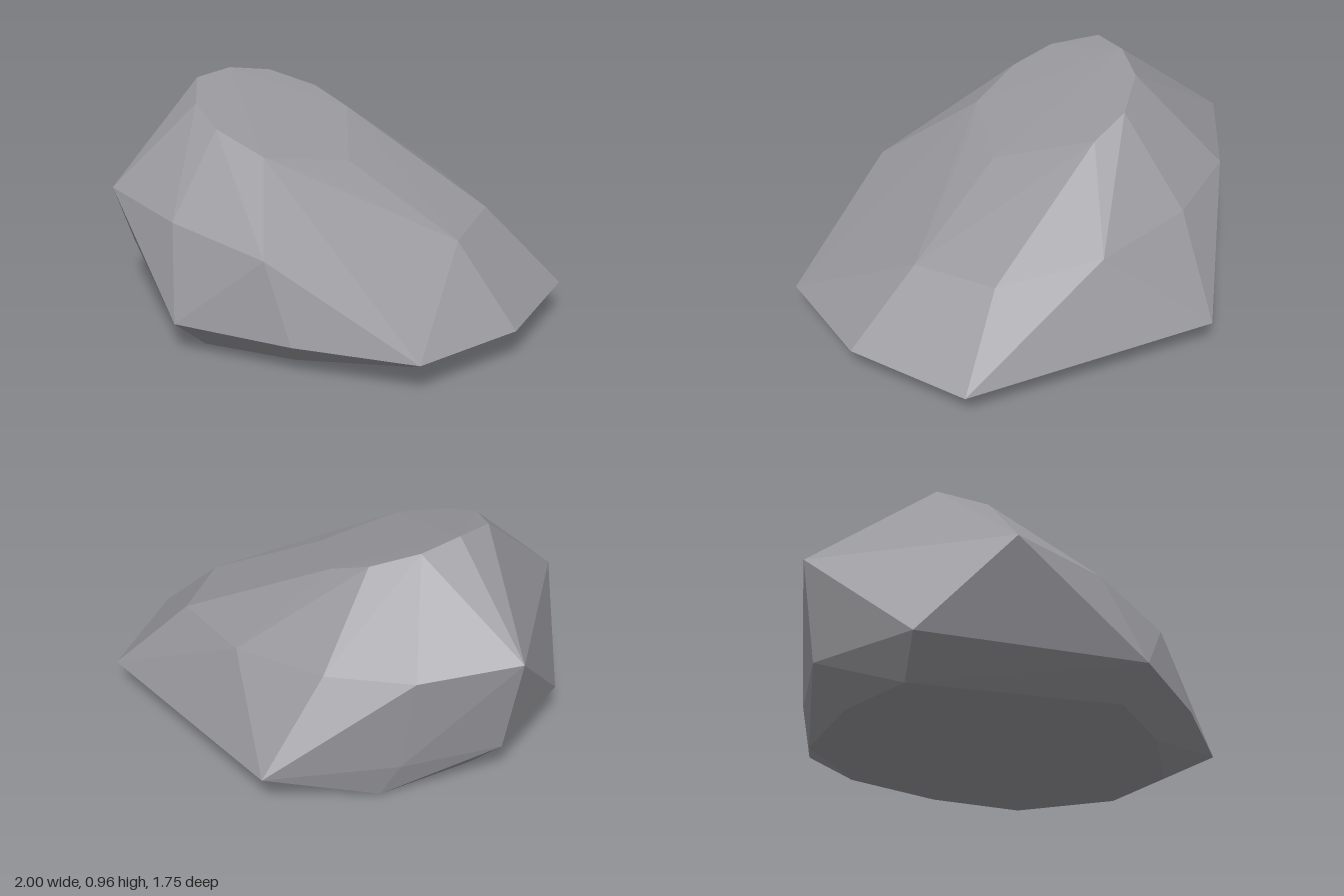
import * as THREE from 'three';
import { ConvexGeometry } from 'three/addons/geometries/ConvexGeometry.js';

// Faceted boulder: a hull stretched over four rings of corner points.
export function createModel() {
  const group = new THREE.Group();
  group.name = 'boulder';
  const stone = new THREE.MeshStandardMaterial({ color: 0x97969b, flatShading: true });
  stone.name = 'stone grey';

  // Slightly tilted flat underside, [x, z]
  const base = [
    [0.02, 0.72], [-0.765, 0.3], [-0.76, -0.07], [-0.61, -0.49], [-0.23, -0.67],
    [0.21, -0.62], [0.6, -0.47], [0.83, -0.08], [0.78, 0.27], [0.4, 0.56],
  ].map(([x, z]) => [x, 0.0092 + 0.012 * x, z]);

  // Low rim, the widest part
  const rim = [
    [-0.31, 0.15, -0.88], [0.79, 0.13, -0.64], [1.0, 0.13, -0.11], [0.96, 0.13, 0.41],
    [0.5, 0.135, 0.67], [0.01, 0.14, 0.87], [-0.84, 0.155, 0.43], [-0.92, 0.16, -0.08],
    [-0.68, 0.15, -0.45],
  ];

  // Shoulder
  const shoulder = [
    [-1.0, 0.59, -0.07], [-0.73, 0.56, -0.42], [-0.38, 0.53, -0.58], [0.07, 0.49, -0.61],
    [0.51, 0.45, -0.46], [0.67, 0.43, -0.11], [0.335, 0.455, 0.665], [-0.13, 0.515, 0.755],
    [-0.57, 0.55, 0.73],
  ];

  // Sloping crown
  const crown = [
    [-0.33, 0.865, -0.235], [-0.495, 0.93, -0.105], [-0.56, 0.96, 0.07], [-0.57, 0.947, 0.25],
    [-0.41, 0.89, 0.39], [-0.23, 0.825, 0.43], [0.01, 0.745, 0.375], [0.135, 0.69, 0.25],
    [0.165, 0.69, 0.03], [-0.15, 0.8, -0.26],
  ];

  const points = [...base, ...rim, ...shoulder, ...crown].map((p) => new THREE.Vector3(...p));
  const rock = new THREE.Mesh(new ConvexGeometry(points), stone);
  rock.name = 'rock';
  group.add(rock);
  return group;
}
